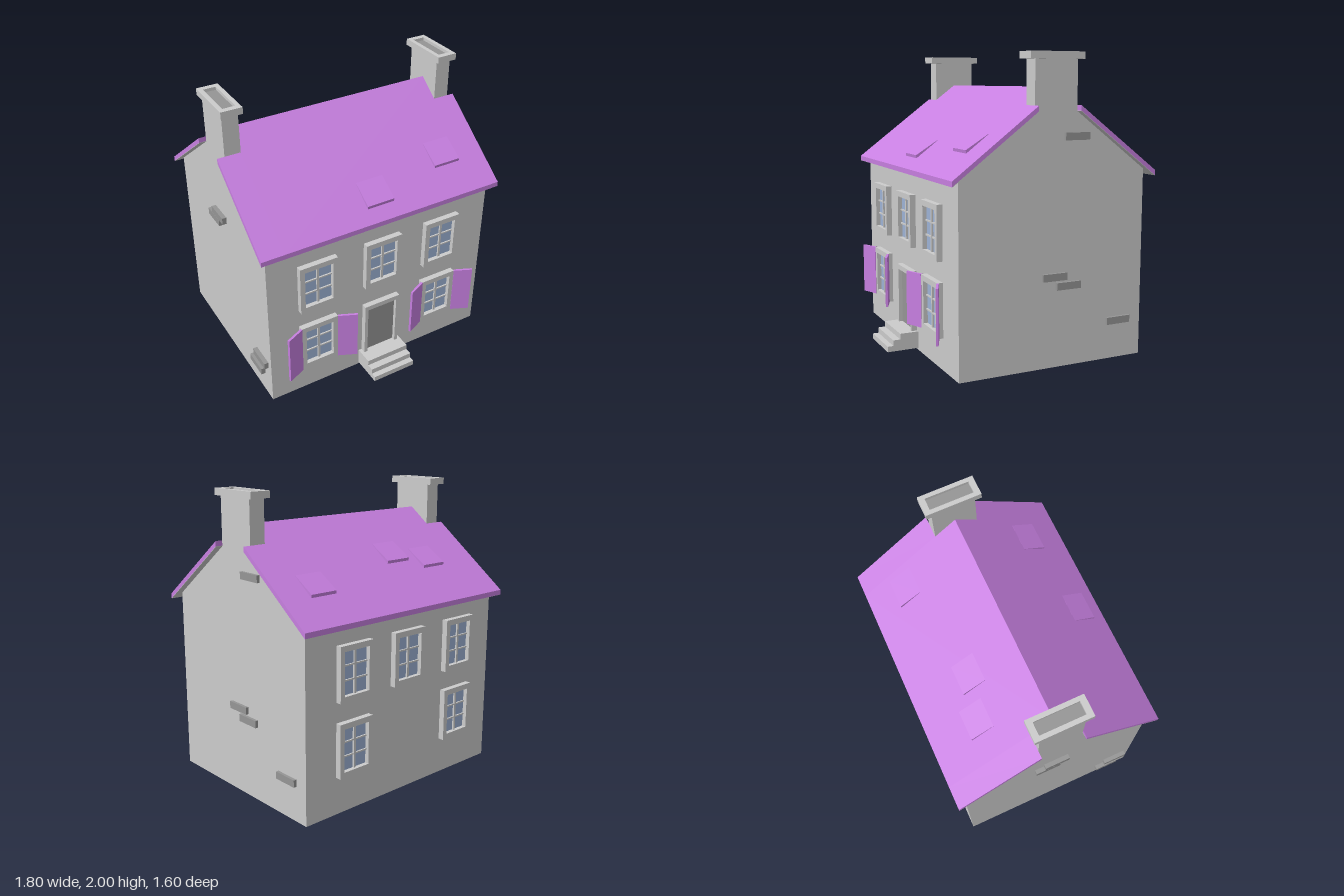
import * as THREE from 'three';

const mat = (color, side = THREE.FrontSide) => new THREE.MeshStandardMaterial({ color, side });
const grey = mat(0xcccccc);
const wallGrey = mat(0xcccccc, THREE.DoubleSide);
const dark = mat(0x959595);
const purple = mat(0xc77fe0);
const blue = mat(0x9db3d6);

const HALF_W = 0.85, HALF_D = 0.66, MID_Z = -0.08;
const ROOF_T = 0.034, NOTCH_X = 0.74, NOTCH_U = 0.15;
// Height of the roof's upper face at distance u from the ridge
const roofY = (u) => 1.785 - 0.75 * u;

function add(parent, name, geometry, material, x = 0, y = 0, z = 0) {
  const mesh = new THREE.Mesh(geometry, material);
  mesh.name = name;
  mesh.position.set(x, y, z);
  parent.add(mesh);
  return mesh;
}

function group(parent, name, x = 0, y = 0, z = 0) {
  const g = new THREE.Group();
  g.name = name;
  g.position.set(x, y, z);
  parent.add(g);
  return g;
}

const box = (w, h, d) => new THREE.BoxGeometry(w, h, d);
const polygon = (pts) => new THREE.Shape(pts.map(([x, y]) => new THREE.Vector2(x, y)));
const rect = (w, h) => [[-w / 2, -h / 2], [w / 2, -h / 2], [w / 2, h / 2], [-w / 2, h / 2]];
const extrude = (shape, depth) => new THREE.ExtrudeGeometry(shape, { depth, bevelEnabled: false });

// Rectangular frame with a rectangular opening
function frame(w, h, openW, openH, depth) {
  const shape = polygon(rect(w, h));
  shape.holes.push(polygon(rect(openW, openH)));
  return extrude(shape, depth);
}

// Profile in (z, y) pulled along x from x0 to x1
function alongX(pts, x0, x1) {
  const geo = extrude(polygon(pts.map(([z, y]) => [-z, y])), x1 - x0);
  return geo.rotateY(Math.PI / 2).translate(x0, 0, 0);
}

function addWindow(parent, x, y, z, turned) {
  const w = group(parent, 'window', x, y, z);
  if (turned) w.rotation.y = Math.PI;
  add(w, 'windowFrame', frame(0.275, 0.36, 0.206, 0.285, 0.04), grey);
  add(w, 'windowGlass', new THREE.PlaneGeometry(0.206, 0.285), blue, 0, 0, 0.01);
  add(w, 'windowUpright', box(0.016, 0.285, 0.014), grey, 0, 0, 0.015);
  for (const s of [-1, 1]) add(w, 'windowCrossbar', box(0.206, 0.01, 0.012), grey, 0, s * 0.0475, 0.014);
  return w;
}

// A pair of half-open shutters hinged on the frame's sides
function addShutters(windowGroup) {
  for (const s of [-1, 1]) {
    const hinge = group(windowGroup, 'shutterHinge', s * 0.139, 0, 0.036);
    hinge.rotation.y = -s * 0.42;
    add(hinge, 'shutter', box(0.135, 0.362, 0.016), purple, s * 0.0675, 0, 0);
  }
}

// Wedge-shaped loose tile, its lower end lifted off the roof
function addTile(roof, x, u, side) {
  const top = u - 0.15;
  const pts = [[top, roofY(top) - 0.004], [u, roofY(u) - 0.004], [u + 0.004, roofY(u) + 0.02], [top, roofY(top) + 0.003]];
  add(roof, 'raisedTile', alongX(pts.map(([d, y]) => [side * d, y]), x - 0.1, x + 0.1), purple);
}

function addRoof(house) {
  const roof = group(house, 'roof', 0, 0, MID_Z);
  const slab = (name, side, u0, u1, drop, t, x0, x1, m) => {
    const pts = [[u0, roofY(u0) - drop], [u1, roofY(u1) - drop], [u1, roofY(u1) - drop - t], [u0, roofY(u0) - drop - t]];
    add(roof, name, alongX(pts.map(([u, y]) => [side * u, y]), x0, x1), m);
  };
  for (const side of [-1, 1]) {
    // Middle section reaches the ridge, end sections stop at the chimneys
    for (const [x0, x1, u0] of [[-NOTCH_X, NOTCH_X, 0], [NOTCH_X, 0.9, NOTCH_U], [-0.9, -NOTCH_X, NOTCH_U]]) {
      slab('roofSlope', side, u0, 0.72, 0, ROOF_T, x0, x1, purple);
      slab('roofUnderside', side, u0, 0.718, ROOF_T, 0.003, x0, x1, grey);
    }
  }
  for (const [x, u, side] of [[0, 0.635, 1], [0.59, 0.535, 1], [-0.465, 0.47, -1], [-0.185, 0.4, -1], [0.59, 0.53, -1]]) {
    addTile(roof, x, u, side);
  }
}

function addWalls(house) {
  const walls = group(house, 'walls', 0, 0, MID_Z);
  const eave = roofY(HALF_D) - ROOF_T, top = roofY(NOTCH_U) - ROOF_T;
  const gable = polygon([[-HALF_D, 0], [HALF_D, 0], [HALF_D, eave], [NOTCH_U, top], [-NOTCH_U, top], [-HALF_D, eave]]);
  for (const s of [-1, 1]) {
    const end = add(walls, 'gableWall', new THREE.ShapeGeometry(gable), wallGrey, s * HALF_W);
    end.rotation.y = s * Math.PI / 2;
    const long = add(walls, s > 0 ? 'frontWall' : 'backWall', new THREE.PlaneGeometry(2 * HALF_W, eave), wallGrey, 0, eave / 2, s * HALF_D);
    if (s < 0) long.rotation.y = Math.PI;
  }
  // Projecting bricks: side, y, z, projection
  const bricks = [
    [1, 1.48, -0.228, 0.02], [1, 0.595, -0.078, 0.02], [1, 0.532, -0.178, 0.02], [1, 0.258, -0.56, 0.02],
    [-1, 1.15, -0.085, 0.03], [-1, 1.1, -0.15, 0.03], [-1, 0.288, 0.45, 0.03], [-1, 0.188, 0.39, 0.03],
  ];
  for (const [s, y, z, d] of bricks) add(house, 'brick', box(d, 0.048, 0.175), dark, s * (HALF_W + d / 2), y, z);
}

function addChimney(house, s) {
  const c = group(house, s > 0 ? 'leftChimney' : 'rightChimney', s * 0.795, 0, MID_Z);
  const base = roofY(NOTCH_U) - ROOF_T;
  add(c, 'chimneyStack', box(0.11, 1.97 - base, 2 * NOTCH_U), grey, 0, (1.97 + base) / 2, 0);
  add(c, 'chimneyCap', frame(0.146, 0.38, 0.086, 0.3, 0.045).rotateX(-Math.PI / 2), grey, 0, 1.955, 0);
  add(c, 'chimneyOpening', box(0.086, 0.01, 0.3), dark, 0, 1.974, 0);
}

function addEntrance(house, wallZ) {
  const e = group(house, 'entrance', -0.002, 0, wallZ);
  const surround = [[-0.138, 0.13], [-0.114, 0.13], [-0.114, 0.512], [0.114, 0.512], [0.114, 0.13], [0.138, 0.13], [0.138, 0.546], [-0.138, 0.546]];
  add(e, 'doorFrame', extrude(polygon(surround), 0.04), grey);
  add(e, 'door', box(0.228, 0.382, 0.012), dark, 0, 0.321, 0.008);
  // Stair profile from the wall outwards
  const stairs = [[0, 0.015], [0.22, 0.015], [0.22, 0.053], [0.18, 0.053], [0.18, 0.092], [0.13, 0.092], [0.13, 0.131], [0, 0.131]];
  add(e, 'steps', alongX(stairs, -0.162, 0.162), grey);
}

export function createModel() {
  const house = new THREE.Group();
  house.name = 'house';
  const front = MID_Z + HALF_D, back = MID_Z - HALF_D;
  addWalls(house);
  addRoof(house);
  for (const s of [-1, 1]) addChimney(house, s);
  addEntrance(house, front);
  // Upper windows front and back, lower ones beside the entrance
  for (const x of [-0.495, -0.003, 0.468]) {
    addWindow(house, x, 0.887, front, false);
    addWindow(house, x, 0.925, back, true);
    if (Math.abs(x) > 0.1) {
      addShutters(addWindow(house, x, 0.392, front, false));
      addWindow(house, x, 0.43, back, true);
    }
  }
  return house;
}
